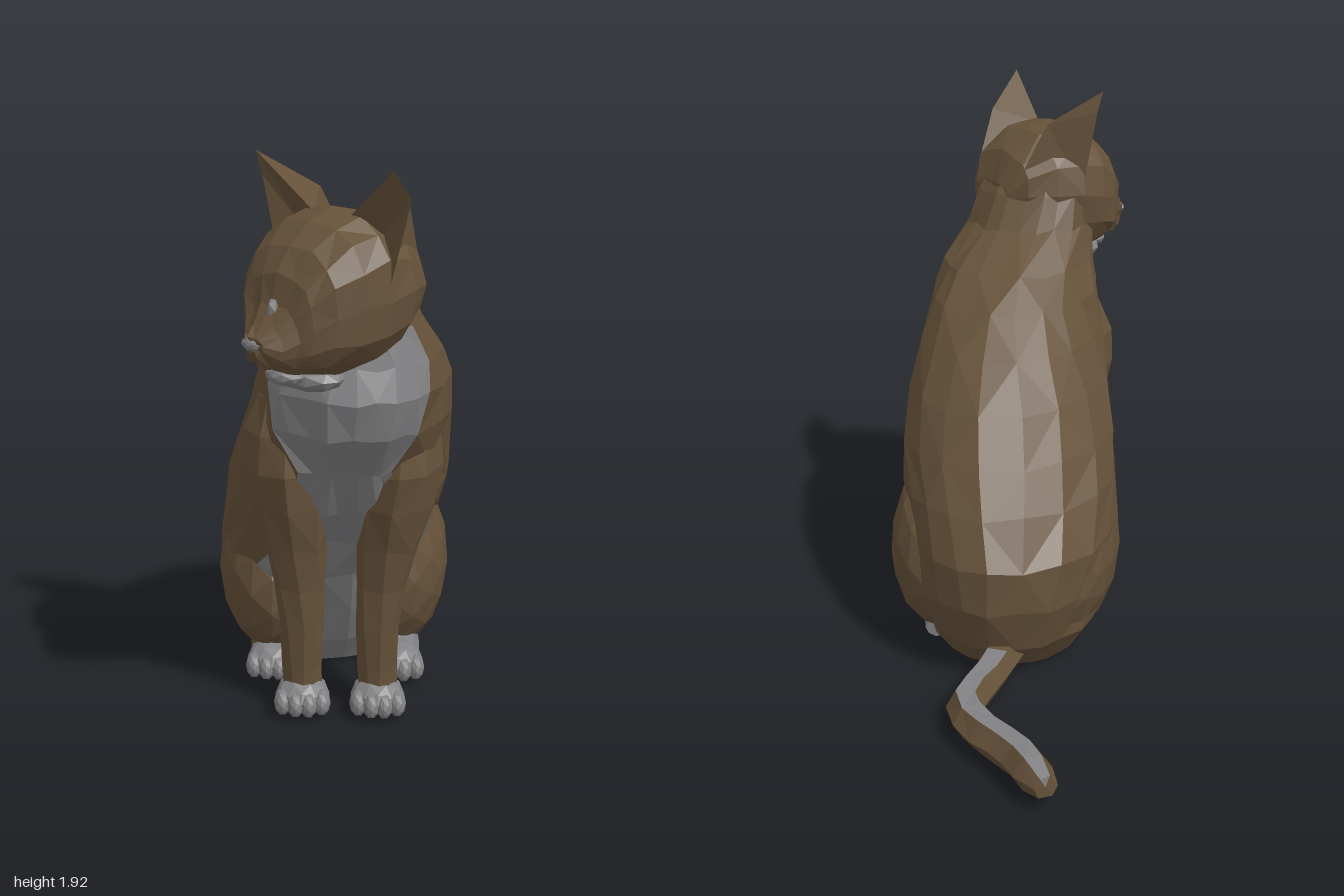
import * as THREE from 'three';

const V = (x, y, z) => new THREE.Vector3(x, y, z);
const X = V(1, 0, 0), Y = V(0, 1, 0), Z = V(0, 0, 1);
const fur = new THREE.MeshStandardMaterial({ color: 0x66523a });
fur.name = 'brownFur';
const pale = new THREE.MeshStandardMaterial({ color: 0x828284 });
pale.name = 'greyFur';

const even = (n) => Array.from({ length: n }, (_, j) => (j / n) * Math.PI * 2);

// Ring around c at the given angles; u x v points along the loft direction
function ring(c, u, v, angles, power = 1) {
  const bend = (k) => Math.sign(k) * Math.abs(k) ** power;
  return angles.map((t) =>
    c.clone().addScaledVector(u, bend(Math.cos(t))).addScaledVector(v, bend(Math.sin(t))));
}

// Faceted skin over rings, closed at both ends; isPale(row, column) picks the grey faces
function loft(name, rings, isPale = () => false, rough = 0) {
  const n = rings[0].length, tris = [[], []];
  rings.forEach((r, i) => r.forEach((p, j) => {
    p.x += rough * Math.sin(i * 7.3 + j * 4.1);
    p.y += rough * Math.sin(i * 3.7 + j * 8.9);
    p.z += rough * Math.sin(i * 5.9 + j * 2.3);
  }));
  const add = (m, ...pts) => pts.forEach((p) => tris[m].push(p.x, p.y, p.z));
  for (let i = 0; i < rings.length - 1; i++) {
    for (let j = 0; j < n; j++) {
      const k = (j + 1) % n, m = isPale(i, j) ? 1 : 0;
      const a = rings[i][j], b = rings[i][k], c = rings[i + 1][k], d = rings[i + 1][j];
      if ((i + j) % 2) add(m, a, b, c, a, c, d);
      else add(m, a, b, d, b, c, d);
    }
  }
  const middle = (r) => r.reduce((s, p) => s.add(p), V(0, 0, 0)).divideScalar(n);
  const first = rings[0], last = rings[rings.length - 1];
  const c0 = middle(first), c1 = middle(last);
  for (let j = 0; j < n; j++) {
    const k = (j + 1) % n;
    add(isPale(0, j) ? 1 : 0, c0, first[k], first[j]);
    add(isPale(rings.length - 2, j) ? 1 : 0, c1, last[j], last[k]);
  }
  const g = faceted([...tris[0], ...tris[1]]);
  g.addGroup(0, tris[0].length / 3, 0);
  g.addGroup(tris[0].length / 3, tris[1].length / 3, 1);
  const mesh = new THREE.Mesh(g, [fur, pale]);
  mesh.name = name;
  return mesh;
}

function faceted(numbers) {
  const g = new THREE.BufferGeometry();
  g.setAttribute('position', new THREE.Float32BufferAttribute(numbers, 3));
  g.computeVertexNormals();
  return g;
}

// Faceted ellipsoid
function blob(name, mat, c, r, detail = 1) {
  const g = new THREE.IcosahedronGeometry(1, detail).scale(...r).translate(...c);
  const p = g.attributes.position;
  for (let i = 0; i < p.count; i++) p.setY(i, Math.max(0, p.getY(i)));
  g.computeVertexNormals();
  const mesh = new THREE.Mesh(g, mat);
  mesh.name = name;
  return mesh;
}

// Upright section: height, back, front, half width, centre x
const section = ([y, b, f, w, x], angles) =>
  ring(V(x, y, (b + f) / 2), Z.clone().multiplyScalar((f - b) / 2), X.clone().multiplyScalar(w), angles);

// Angles whose first and last four columns span the bib, given its reach in degrees
function bibAngles(left, right) {
  return Array.from({ length: 22 }, (_, j) => {
    const k = Math.min(j, 22 - j), reach = ((j <= 11 ? left : right) * Math.PI) / 180;
    const t = k <= 4 ? (reach * k) / 4 : reach + ((Math.PI - reach) * (k - 4)) / 7;
    return j <= 11 ? t : -t;
  });
}

function paw(name, x, z) {
  const g = new THREE.Group();
  g.name = name;
  g.add(blob('pawBase', pale, [x, 0.055, z], [0.092, 0.066, 0.1]));
  for (let i = 0; i < 4; i++) {
    const k = i - 1.5;
    g.add(blob('toe', pale, [x + k * 0.044, 0.045, z + 0.075 - Math.abs(k) * 0.018], [0.03, 0.046, 0.05]));
  }
  return g;
}

function makeBody() {
  const g = new THREE.Group();
  g.name = 'body';
  // Torso: section, then bib reach on the left and right
  const rows = [
    [0.0, -0.33, 0.16, 0.24, -0.04, 75, 70], [0.12, -0.45, 0.27, 0.31, -0.05, 75, 65],
    [0.28, -0.51, 0.37, 0.35, -0.05, 70, 56], [0.44, -0.515, 0.46, 0.37, -0.05, 64, 38],
    [0.6, -0.43, 0.56, 0.385, -0.015, 60, 26], [0.74, -0.34, 0.66, 0.385, 0.01, 36, 24],
    [0.9, -0.23, 0.76, 0.36, 0.03, 24, 24], [1.05, -0.09, 0.87, 0.335, 0.045, 40, 47],
    [1.18, 0.06, 0.91, 0.31, 0.055, 50, 64], [1.28, 0.21, 0.88, 0.28, 0.055, 54, 62],
    [1.4, 0.42, 0.87, 0.235, 0.03, 55, 60], [1.52, 0.48, 0.85, 0.215, 0.01, 55, 60], [1.62, 0.54, 0.83, 0.18, 0, 55, 60],
  ];
  g.add(loft('torso', rows.map((r) => section(r, bibAngles(r[5], r[6]))), (i, j) => i < 10 && (j < 4 || j > 17), 0.007));
  // Haunches
  g.add(blob('rightHaunch', fur, [-0.22, 0.33, 0], [0.205, 0.32, 0.4], 2));
  g.add(blob('leftHaunch', fur, [0.21, 0.34, -0.025], [0.2, 0.34, 0.31], 2));
  for (const s of [-1, 1]) {
    const side = s > 0 ? 'left' : 'right';
    // Long hind foot, grey on the left only
    g.add(loft(side + 'HindFoot', [[-0.17, 0.04, 0.035], [-0.06, 0.075, 0.055], [0.12, 0.08, 0.06], [0.24, 0.075, 0.055], [0.29, 0.06, 0.045]]
      .map(([z, w, h]) => ring(V(s * 0.225, h, z), X.clone().multiplyScalar(w), Y.clone().multiplyScalar(h), even(8))), () => s > 0));
    g.add(paw(side + 'HindPaw', s * 0.22, 0.265));
    // Front leg, wide at the shoulder
    const x = s > 0 ? 0.145 : -0.11;
    g.add(loft(side + 'FrontLeg', [
      [0.06, 0.49, 0.61, 0.06, x], [0.16, 0.48, 0.61, 0.064, x], [0.3, 0.46, 0.62, 0.073, x],
      [0.45, 0.42, 0.63, 0.088, x + s * 0.01], [0.6, 0.36, 0.66, 0.112, x + s * 0.025], [0.75, 0.31, 0.705, 0.138, x + s * 0.04],
      [0.88, 0.3, 0.73, 0.145, x + s * 0.055], [1.0, 0.34, 0.71, 0.13, x + s * 0.06], [1.12, 0.42, 0.66, 0.08, x + s * 0.06],
    ].map((r) => section(r, even(9))), undefined, 0.007));
    g.add(paw(side + 'FrontPaw', x, 0.555));
  }
  g.rotation.y = Math.PI / 4;
  g.position.set(0.127, 0, -0.127);
  return g;
}

// Ear: rim around a hollow front, with a ridged back
function ear(s, flare) {
  const P = {
    I: [0.075, 1.74, 0.43], T: [0.295, 1.91, 0.47], O: [0.285 + flare, 1.83, 0.45], B: [0.235, 1.53, 0.42],
    P: [0.18, 1.69, 0.39], K: [0.19, 1.79, 0.29], N: [0.15, 1.6, 0.2],
  };
  const numbers = [];
  for (const f of 'ITP TOP OBP BIP TIK INK NBK BOK OTK'.split(' ')) {
    const order = s < 0 ? f : f[0] + f[2] + f[1];
    for (const k of order) numbers.push(s * P[k][0], P[k][1], P[k][2]);
  }
  const m = new THREE.Mesh(faceted(numbers), fur);
  m.name = s > 0 ? 'leftEar' : 'rightEar';
  return m;
}

function makeHead() {
  const g = new THREE.Group();
  g.name = 'head';
  // Skull and muzzle: [z, bottom, top, half width]
  const rows = [
    [0.16, 1.44, 1.56, 0.12], [0.21, 1.38, 1.67, 0.19], [0.31, 1.3, 1.745, 0.24], [0.42, 1.265, 1.765, 0.255],
    [0.52, 1.265, 1.735, 0.245], [0.6, 1.275, 1.67, 0.205], [0.65, 1.285, 1.59, 0.155], [0.672, 1.295, 1.5, 0.115],
    [0.71, 1.31, 1.45, 0.08], [0.75, 1.36, 1.41, 0.04],
  ];
  g.add(loft('skull', rows.map(([z, a, b, w]) =>
    ring(V(0, (a + b) / 2, z), X.clone().multiplyScalar(w), Y.clone().multiplyScalar((b - a) / 2), even(16), 0.82)), undefined, 0.005));
  for (const s of [-1, 1]) {
    g.add(ear(s, s > 0 ? 0.063 : 0));
    g.add(blob(s > 0 ? 'leftEyelid' : 'rightEyelid', fur, [s * 0.1, 1.505, 0.637], [0.05, 0.025, 0.022]));
  }
  // Pale marks on the bridge, lip, chin and throat
  g.add(blob('bridgeMark', pale, [0.005, 1.485, 0.675], [0.02, 0.038, 0.02], 0));
  g.add(blob('lipMark', pale, [-0.015, 1.385, 0.735], [0.05, 0.022, 0.025], 1));
  g.add(blob('chin', pale, [0, 1.275, 0.62], [0.07, 0.035, 0.055]));
  g.add(blob('throat', pale, [0, 1.26, 0.53], [0.14, 0.05, 0.09]));
  g.position.x = 0.65;
  return g;
}

function makeTail() {
  const path = new THREE.CatmullRomCurve3([
    V(-0.2, 0.08, -0.33), V(-0.31, 0.075, -0.47), V(-0.43, 0.068, -0.64), V(-0.56, 0.066, -0.675),
    V(-0.78, 0.068, -0.66), V(-0.92, 0.073, -0.682), V(-0.995, 0.075, -0.695),
  ]);
  const n = 11;
  const rings = Array.from({ length: n }, (_, i) => {
    const d = path.getPointAt(i / (n - 1)), t = path.getTangentAt(i / (n - 1));
    const r = i === n - 1 ? 0.04 : 0.066;
    return ring(d, Y.clone().cross(t).normalize().multiplyScalar(r), Y.clone().multiplyScalar(r), even(6));
  });
  // Grey stripe along the top
  return loft('tail', rings, (i, j) => i > 0 && i < n - 1 && j === 1, 0.003);
}

export function createModel() {
  const model = new THREE.Group();
  model.name = 'sittingCat';
  model.add(makeBody(), makeHead(), makeTail());
  return model;
}
